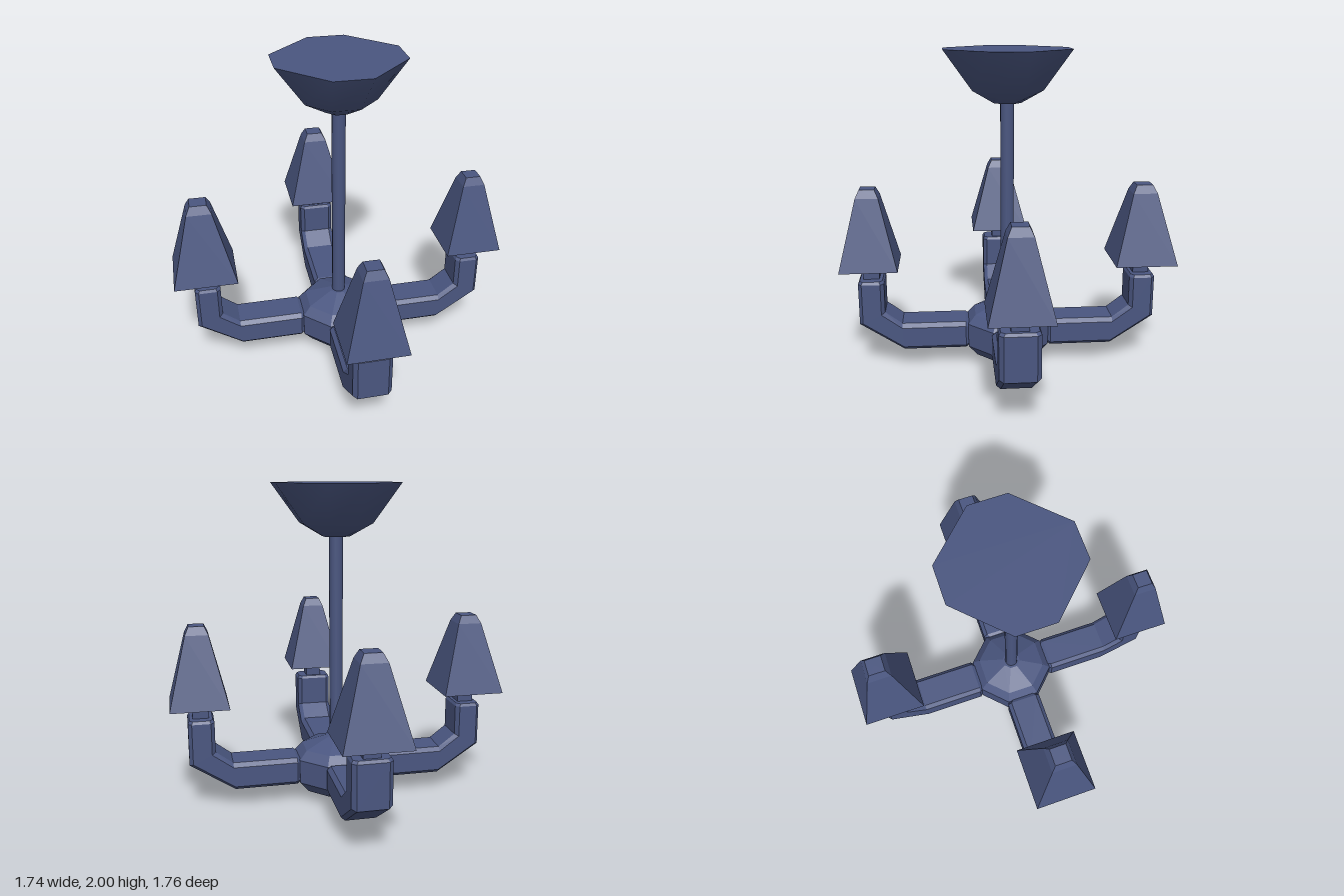
import * as THREE from 'three';
import { toCreasedNormals } from 'three/addons/utils/BufferGeometryUtils.js';

const COLOR = 0x4a5680;
const flat = new THREE.MeshStandardMaterial({ color: COLOR, flatShading: true });
const smooth = new THREE.MeshStandardMaterial({ color: COLOR });

// Skin a list of rings (counter-clockwise seen from the end of the path) and cap both ends
function loft(rings) {
  const n = rings[0].length, pos = [], index = [];
  rings.forEach(ring => ring.forEach(p => pos.push(...p)));
  for (let r = 0; r < rings.length - 1; r++) {
    for (let i = 0; i < n; i++) {
      const a = r * n + i, b = r * n + (i + 1) % n;
      index.push(a, b, b + n, a, b + n, a + n);
    }
  }
  const last = (rings.length - 1) * n;
  for (let i = 1; i < n - 1; i++) {
    index.push(0, i + 1, i, last, last + i, last + i + 1);
  }
  const geo = new THREE.BufferGeometry();
  geo.setAttribute('position', new THREE.Float32BufferAttribute(pos, 3));
  geo.setIndex(index);
  return geo;
}

function lathe(profile, sides, phi = 0) {
  return new THREE.LatheGeometry(profile.map(p => new THREE.Vector2(...p)), sides, phi);
}

function add(parent, name, geo, material) {
  const mesh = new THREE.Mesh(geo, material);
  mesh.name = name;
  parent.add(mesh);
  return mesh;
}

// Bevelled rectangle between the outer and inner side of the arm, in the z-y plane
function armRing([zo, yo, zi, yi], w) {
  const k = 0.14, c = 0.025;
  return [
    [w - c, 0], [w, k], [w, 1 - k], [w - c, 1],
    [c - w, 1], [-w, 1 - k], [-w, k], [c - w, 0],
  ].map(([x, v]) => [x, yo + (yi - yo) * v, zo + (zi - zo) * v]);
}

// Square with cut corners
function canopyRing(y, half, cut) {
  return [[half, -cut], [half, cut], [cut, half], [-cut, half],
    [-half, cut], [-half, -cut], [-cut, -half], [cut, -half]]
    .map(([x, z]) => [x, y, -z]);
}

export function createModel() {
  const model = new THREE.Group();
  model.name = 'chandelier';
  const body = new THREE.Group();
  body.name = 'body';
  body.position.x = 0.008;
  model.add(body);

  // Ceiling canopy
  const canopy = loft([
    canopyRing(1.68, 0.08, 0.035),
    canopyRing(1.76, 0.21, 0.09),
    canopyRing(2, 0.35, 0.19),
  ]);
  add(body, 'canopy', toCreasedNormals(canopy, 0.85), smooth);

  // Hanging rod
  const rod = new THREE.CylinderGeometry(0.042, 0.042, 1.34, 12);
  add(body, 'rod', rod, smooth).position.y = 1.03;

  // Faceted hub
  add(body, 'hub', lathe([
    [0, 0], [0.215, 0.07], [0.275, 0.14], [0.275, 0.29],
    [0.225, 0.345], [0.06, 0.405], [0, 0.405],
  ], 8, Math.PI / 8), flat);

  // Upswept arm, from the hub to the lamp end
  const armGeo = loft([
    armRing([0.25, 0.14, 0.25, 0.295], 0.1),
    armRing([0.27, 0.13, 0.27, 0.305], 0.115),
    armRing([0.66, 0.13, 0.67, 0.305], 0.115),
    armRing([0.935, 0.31, 0.775, 0.385], 0.115),
    armRing([0.935, 0.575, 0.775, 0.575], 0.115),
    armRing([0.925, 0.592, 0.785, 0.592], 0.105),
  ]);
  const socketGeo = new THREE.BoxGeometry(0.1, 0.12, 0.1);
  const shadeGeo = lathe([
    [0, 0.675], [0.268, 0.675], [0.105, 1.115], [0.07, 1.165], [0, 1.165],
  ], 4, Math.PI / 4);

  for (let i = 0; i < 4; i++) {
    const branch = new THREE.Group();
    branch.name = 'branch';
    branch.rotation.y = Math.PI / 4 + i * Math.PI / 2;
    add(branch, 'arm', armGeo, flat);
    add(branch, 'socket', socketGeo, flat).position.set(0, 0.64, 0.855);
    const shade = add(branch, 'shade', shadeGeo, flat);
    shade.position.z = 0.86;
    // The shades on the model's left are a little slimmer
    const s = i === 0 || i === 1 ? 0.94 : 1.02;
    shade.scale.set(s, 1, s);
    body.add(branch);
  }
  return model;
}
